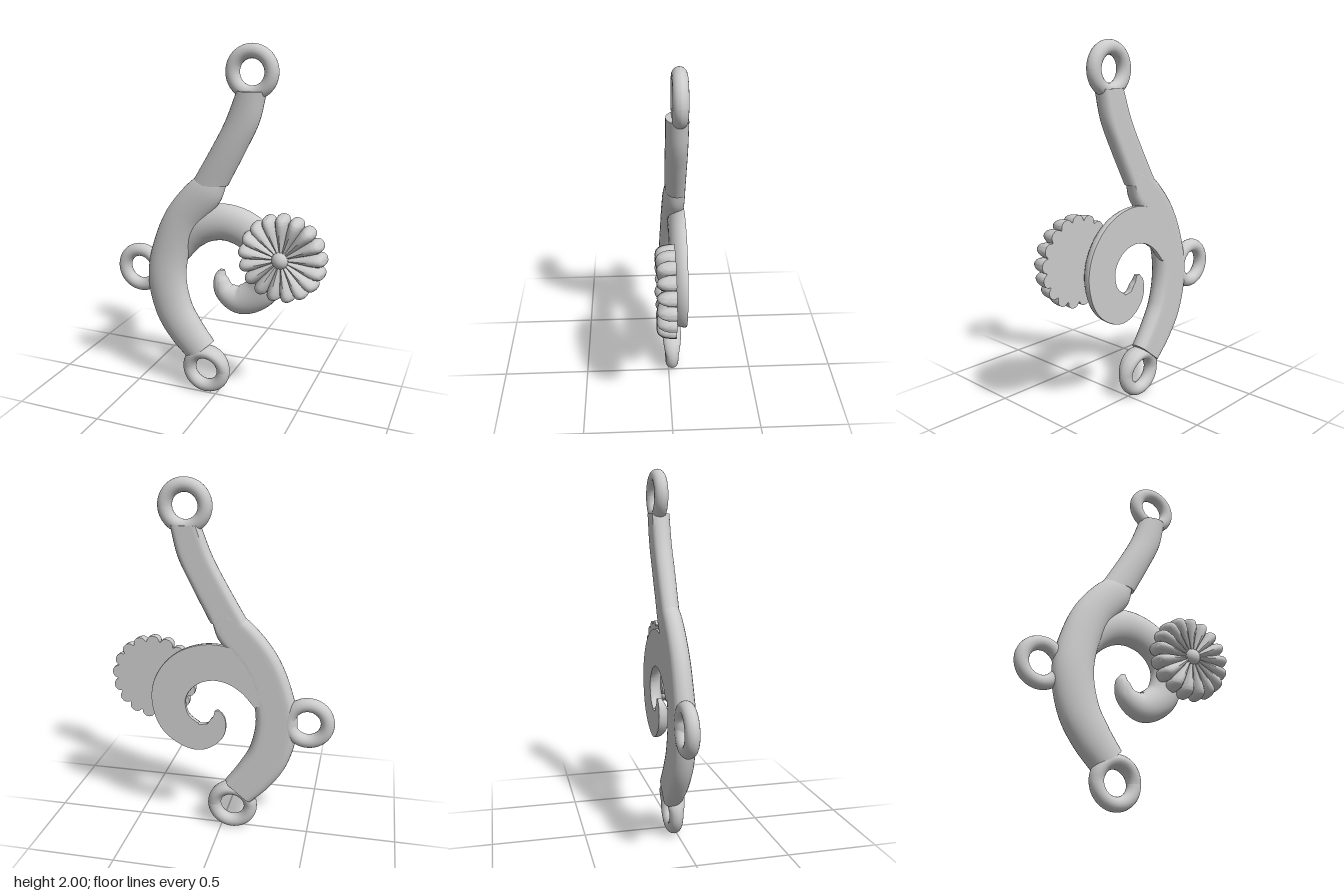
import * as THREE from 'three';
import { toCreasedNormals } from 'three/addons/utils/BufferGeometryUtils.js';

const BACK = -0.085;
const material = new THREE.MeshStandardMaterial({ color: 0xcccccc });

// Sweeps a flat-backed dome along [x, y, halfWidth, frontZ] stations.
// round: 0.5 = full ellipse, 1 = half ellipse resting on the back plane.
// level: keeps every section horizontal.
function sweep(stations, { back = BACK, round = 0.6, level = false, steps = 48, sides = 28 } = {}) {
  const path = new THREE.CatmullRomCurve3(
    stations.map(([x, y]) => new THREE.Vector3(x, y, 0)), false, 'catmullrom');
  const size = new THREE.CatmullRomCurve3(
    stations.map(([, , w, f]) => new THREE.Vector3(w, f, 0)), false, 'catmullrom');
  const pos = [], index = [];
  for (let i = 0; i <= steps; i++) {
    const c = path.getPoint(i / steps), t = path.getTangent(i / steps), s = size.getPoint(i / steps);
    const nx = level ? -1 : -t.y, ny = level ? 0 : t.x;
    const depth = (s.y - back) * round;
    for (let j = 0; j < sides; j++) {
      const a = (j / sides) * Math.PI * 2, u = s.x * Math.cos(a);
      pos.push(c.x + nx * u, c.y + ny * u, Math.max(back, s.y - depth + depth * Math.sin(a)));
    }
  }
  for (let i = 0; i < steps; i++) {
    for (let j = 0; j < sides; j++) {
      const k = (j + 1) % sides;
      const a = i * sides + j, b = i * sides + k, c = b + sides, d = a + sides;
      index.push(a, b, c, a, c, d);
    }
  }
  // end caps
  const last = steps * sides;
  for (let j = 1; j < sides - 1; j++) {
    index.push(0, j + 1, j, last, last + j, last + j + 1);
  }
  const g = new THREE.BufferGeometry();
  g.setAttribute('position', new THREE.Float32BufferAttribute(pos, 3));
  g.setIndex(index);
  return toCreasedNormals(g, 0.7);
}

function add(parent, name, geometry, x = 0, y = 0, z = 0) {
  const mesh = new THREE.Mesh(geometry, material);
  mesh.name = name;
  mesh.position.set(x, y, z);
  parent.add(mesh);
  return mesh;
}

// Hanging ring; flare thickens its upper side where it meets the stem.
function ring(flare = 0) {
  const g = new THREE.TorusGeometry(0.106, 0.038, 20, 56);
  const p = g.attributes.position;
  for (let i = 0; i < p.count; i++) {
    p.setZ(i, p.getZ(i) * (1 + flare * Math.max(0, p.getY(i) / 0.106)));
  }
  g.computeVertexNormals();
  return g;
}

export function createModel() {
  const model = new THREE.Group();
  model.name = 'branchPendant';

  // Stem in two overlapping lengths
  add(model, 'upperStem', sweep([
    [-0.05, 1.25, 0.105, 0.02],
    [0.06, 1.45, 0.098, 0.025],
    [0.135, 1.6, 0.093, 0.025],
    [0.185, 1.76, 0.08, 0.025],
  ], { level: true }));
  add(model, 'lowerStem', sweep([
    [0.035, 1.31, 0.025, -0.01],
    [-0.06, 1.22, 0.095, 0.025],
    [-0.205, 1.05, 0.105, 0.032],
    [-0.285, 0.86, 0.11, 0.038],
    [-0.312, 0.68, 0.116, 0.045],
    [-0.275, 0.5, 0.115, 0.045],
    [-0.2, 0.37, 0.11, 0.042],
    [-0.105, 0.255, 0.098, 0.035],
  ], { steps: 64 }));

  // Curling tendril
  add(model, 'tendril', sweep([
    [-0.25, 0.82, 0.06, -0.01],
    [-0.18, 0.94, 0.09, 0.0],
    [-0.085, 1.01, 0.1, 0.005],
    [0.04, 1.035, 0.105, 0.005],
    [0.17, 0.995, 0.105, 0.005],
    [0.26, 0.9, 0.102, 0.0],
    [0.287, 0.785, 0.098, 0.0],
    [0.245, 0.66, 0.094, 0.0],
    [0.13, 0.59, 0.085, -0.005],
    [0.035, 0.625, 0.064, -0.015],
    [0.004, 0.7, 0.042, -0.03],
    [0.012, 0.755, 0.012, -0.06],
  ], { round: 0.9, steps: 90 }));

  // Rings
  add(model, 'topRing', ring(), 0.185, 1.856, -0.042);
  add(model, 'sideRing', ring(), -0.486, 0.715, -0.048);
  add(model, 'bottomRing', ring(0.5), -0.065, 0.148, -0.02);

  // Flower of ribbed petals around a bead
  const flower = new THREE.Group();
  flower.name = 'flower';
  flower.position.set(0.387, 0.895, 0);
  model.add(flower);
  const petal = sweep([
    [0.02, 0, 0.008, 0.055],
    [0.1, 0, 0.023, 0.07],
    [0.17, 0, 0.036, 0.083],
    [0.212, 0, 0.038, 0.08],
    [0.234, 0, 0.027, 0.055],
    [0.243, 0, 0.01, 0.015],
  ], { back: -0.015, round: 0.8, steps: 24, sides: 20 });
  const count = 17;
  for (let i = 0; i < count; i++) {
    add(flower, 'petal', petal).rotation.z = Math.PI / 2 + (i / count) * Math.PI * 2;
  }
  const base = new THREE.CylinderGeometry(0.205, 0.215, 0.05, 48).rotateX(Math.PI / 2);
  add(flower, 'flowerBase', base, 0, 0, 0.01);
  add(flower, 'flowerBead', new THREE.SphereGeometry(0.048, 24, 16), 0, 0, 0.042);

  return model;
}
